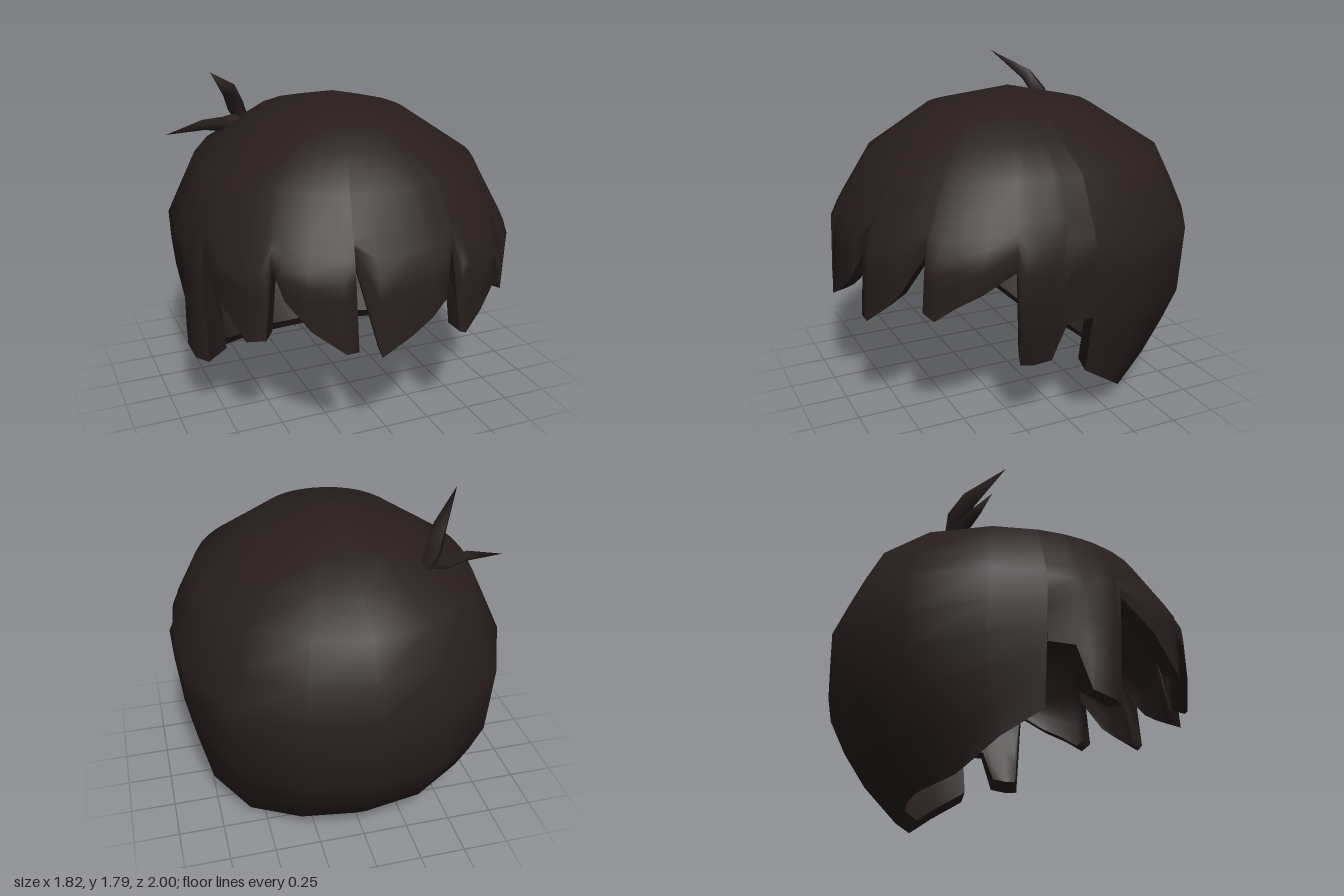
import * as THREE from 'three';

// Shell profile: height, half width, depth to the back, depth to the front
const PROFILE = [
  [1.68, 0, 0, 0], [1.58, 0.39, 0.46, 0.46], [1.34, 0.75, 0.84, 0.78], [0.97, 0.91, 1, 0.98],
  [0.58, 0.87, 0.99, 1], [0.27, 0.81, 0.85, 0.97], [0, 0.79, 0.58, 0.9],
];

// Hem of the hair: angle from the front toward +x, height, lean in or out, extra thickness
const HEM = [
  [-10, 0.57, 1.01], [0, 0.65], [8, 0.73], [13, 0.81], [19, 1.03, 0.95],         // centre lock
  [19.2, 0.61], [22, 0.59], [29, 0.68], [35, 0.77], [42, 0.99, 0.95],            // left fringe locks
  [43.5, 0.72], [47, 0.68], [53, 0.76], [60, 0.83], [69, 0.93, 0.97],
  [72, 0.38, 0.93, 0.05], [76, 0.38, 0.95, 0.06], [82, 0.4, 0.96, 0.06],         // left sideburn
  [85, 0.63], [93.4, 0.63],                                                      // left ear gap
  [93.6, 0.31], [110, 0.17], [133, 0.03], [157, 0.01], [180, 0],                 // nape
  [203, 0.01], [227, 0.03], [250, 0.17], [266.4, 0.31],
  [266.6, 0.63], [275, 0.63],                                                    // right ear gap
  [278, 0.39, 1.1, 0.06], [284, 0.36, 1.11, 0.06], [288, 0.35, 1.06, 0.05],      // right sideburn
  [291, 0.95, 0.97], [300, 0.79, 1.02], [309, 0.62, 1.03], [315, 0.64], [317.5, 1, 0.95], // right fringe locks
  [322, 0.87], [329, 0.72], [339, 0.6], [342.8, 0.61], [343, 1.03, 0.95],
];
const CROWN = [1.68, 1.58, 1.47, 1.34, 1.15];
const LOWER_ROWS = 6;

function radii(y) {
  let k = 0;
  while (k < PROFILE.length - 2 && y < PROFILE[k + 1][0]) k++;
  const a = PROFILE[k], b = PROFILE[k + 1];
  const t = (a[0] - y) / (a[0] - b[0]);
  return [1, 2, 3].map((n) => a[n] + (b[n] - a[n]) * t);
}

// Point on the shell for a hem column and a row counted from the crown
function shellPoint([deg, hem, lean = 1, extra = 0], row, inner) {
  const s = Math.max(0, (row - CROWN.length + 1) / LOWER_ROWS);
  const base = CROWN[CROWN.length - 1];
  const y = s > 0 ? base + (hem - base) * s : CROWN[row];
  const [w, back, front] = radii(y);
  const a = THREE.MathUtils.degToRad(deg);
  // The plan is fuller than an ellipse on its diagonals, less so at the nape and crown
  const fade = Math.min(1, y / 0.6) * (1 - 0.6 * THREE.MathUtils.smoothstep(y, 1, 1.4));
  const full = 1 + 0.06 * Math.sin(2 * a) ** 2 * fade;
  // The shell thins out toward the crown
  const shrink = inner ? 0.92 + 0.04 * THREE.MathUtils.clamp(y - 0.65, 0, 1) : 1;
  const f = (1 + (lean - 1) * s * s) * full * (inner ? shrink - extra * s : 1);
  const c = Math.cos(a);
  return [w * Math.sin(a) * f, 0.85 + (y - 0.85) * shrink, (c < 0 ? back : front) * c * f];
}

// Joins rows of points into a closed band; flip turns its faces inward
function bandGeometry(rows, flip = false, apex = false) {
  const n = rows[0].length, index = [];
  const id = (i, j) => (apex && j === 0 ? 0 : j * n + (i % n));
  const tri = (a, b, c) => {
    if (a !== b && b !== c && a !== c) index.push(...(flip ? [a, c, b] : [a, b, c]));
  };
  for (let j = 0; j < rows.length - 1; j++) {
    for (let i = 0; i < n; i++) {
      tri(id(i, j), id(i, j + 1), id(i + 1, j));
      tri(id(i + 1, j), id(i, j + 1), id(i + 1, j + 1));
    }
  }
  const g = new THREE.BufferGeometry();
  g.setAttribute('position', new THREE.Float32BufferAttribute(rows.flat(2), 3));
  g.setIndex(index);
  g.computeVertexNormals();
  return g;
}

// Tapered four-sided spike along a few [x, y, z, radius] stations, tip first
function spikeGeometry(stations) {
  const pts = stations.map((p) => new THREE.Vector3(p[0], p[1], p[2]));
  const rows = stations.map((st, j) => {
    const dir = pts[Math.max(j - 1, 0)].clone().sub(pts[Math.min(j + 1, pts.length - 1)]).normalize();
    const u = new THREE.Vector3(0, 0, 1).cross(dir).normalize();
    const v = dir.clone().cross(u);
    return [0, 1, 2, 3].map((k) => {
      const a = (k * Math.PI) / 2;
      return pts[j].clone().addScaledVector(u, Math.cos(a) * st[3])
        .addScaledVector(v, Math.sin(a) * st[3]).toArray();
    });
  });
  return bandGeometry(rows, false, true);
}

export function createModel() {
  const group = new THREE.Group();
  group.name = 'hair';
  const hair = new THREE.MeshStandardMaterial({ color: 0x281d1d, side: THREE.DoubleSide });
  hair.name = 'dark brown hair';
  const add = (name, geometry) => {
    const mesh = new THREE.Mesh(geometry, hair);
    mesh.name = name;
    group.add(mesh);
  };

  // Outer and inner shells, joined by a rim along the hem
  const last = CROWN.length - 1 + LOWER_ROWS;
  const rows = (inner) => Array.from({ length: last + 1 }, (_, j) => HEM.map((h) => shellPoint(h, j, inner)));
  const outer = rows(false), inner = rows(true);
  add('outerHair', bandGeometry(outer, false, true));
  add('innerHair', bandGeometry(inner, true, true));
  add('hemRim', bandGeometry([outer[last], inner[last]]));

  // Two loose tufts near the crown
  add('upperTuft', spikeGeometry([
    [-0.63, 1.79, -0.19, 0], [-0.48, 1.65, -0.36, 0.045], [-0.43, 1.55, -0.42, 0.05], [-0.39, 1.46, -0.43, 0.04],
  ]));
  add('lowerTuft', spikeGeometry([
    [-0.86, 1.435, -0.33, 0], [-0.64, 1.465, -0.36, 0.03], [-0.52, 1.455, -0.39, 0.04], [-0.38, 1.47, -0.42, 0.04],
  ]));
  return group;
}
